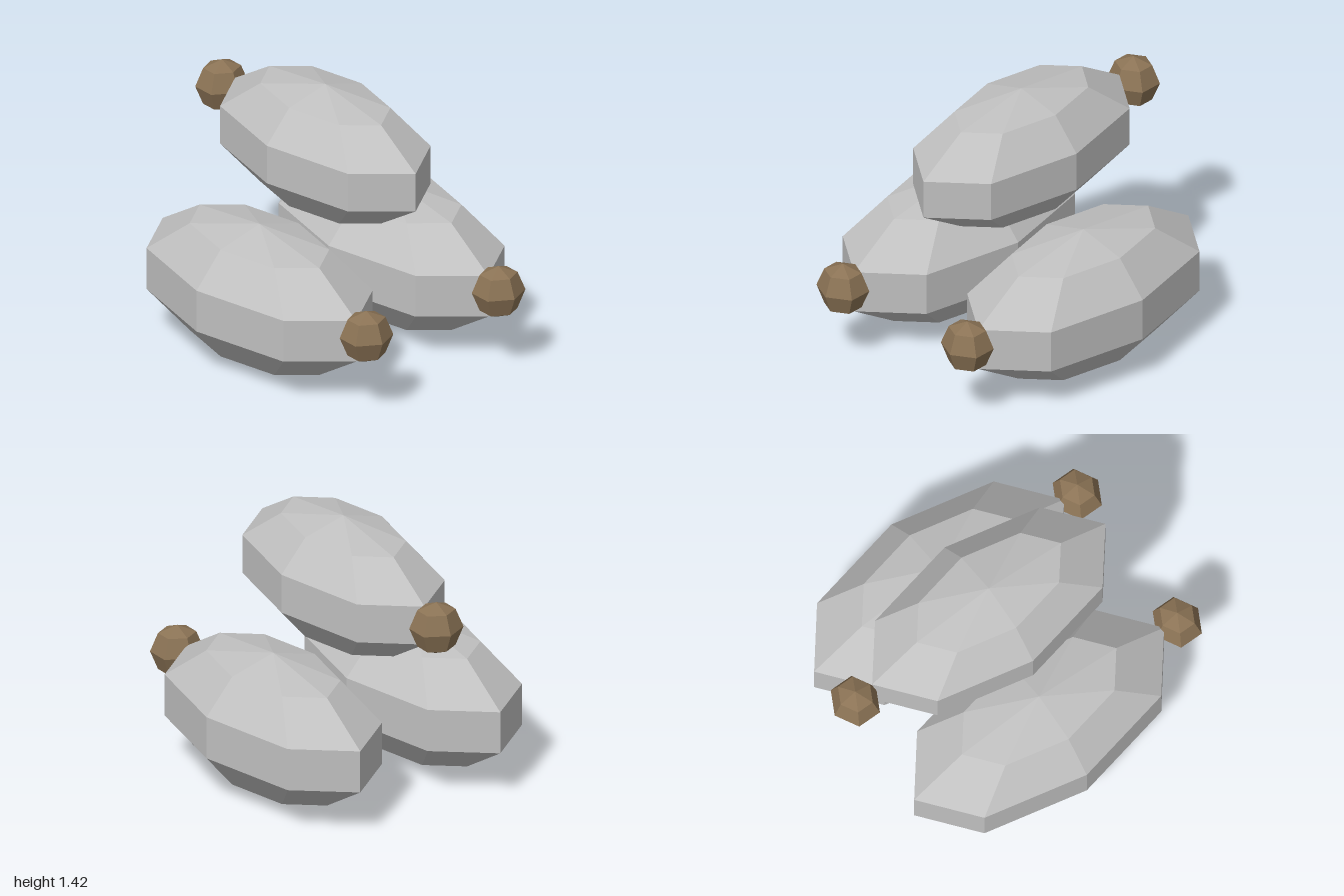
import * as THREE from 'three';

const sackGrey = new THREE.MeshStandardMaterial({ color: 0xc0c0c0, flatShading: true });
sackGrey.name = 'sackGrey';
const knotBrown = new THREE.MeshStandardMaterial({ color: 0x8b7355, flatShading: true });
knotBrown.name = 'knotBrown';

// Faceted ellipsoid placed at a position with separate radii
function blob(name, material, sides, rings, radii, position) {
  const geometry = new THREE.SphereGeometry(1, sides, rings);
  geometry.scale(...radii);
  const mesh = new THREE.Mesh(geometry, material);
  mesh.name = name;
  mesh.position.set(...position);
  return mesh;
}

// A plump sack with its tied knot at one end
function createSack(name, radii, position, knotPosition) {
  const group = new THREE.Group();
  group.name = name;
  group.add(
    blob('sackBody', sackGrey, 8, 5, radii, position),
    blob('sackKnot', knotBrown, 6, 4, [0.132, 0.143, 0.143], knotPosition)
  );
  return group;
}

export function createModel() {
  const model = new THREE.Group();
  model.name = 'sackPile';

  // Two sacks side by side on the ground
  for (const [name, z] of [['frontSack', 0.435], ['backSack', -0.435]]) {
    model.add(createSack(name, [0.838, 0.375, 0.436], [-0.014, 0.38, z], [0.867, 0.44, z]));
  }

  // Smaller sack on top, turned the other way
  model.add(createSack('topSack', [0.782, 0.345, 0.405], [-0.016, 1.076, 0], [-0.867, 1.106, 0]));

  return model;
}
